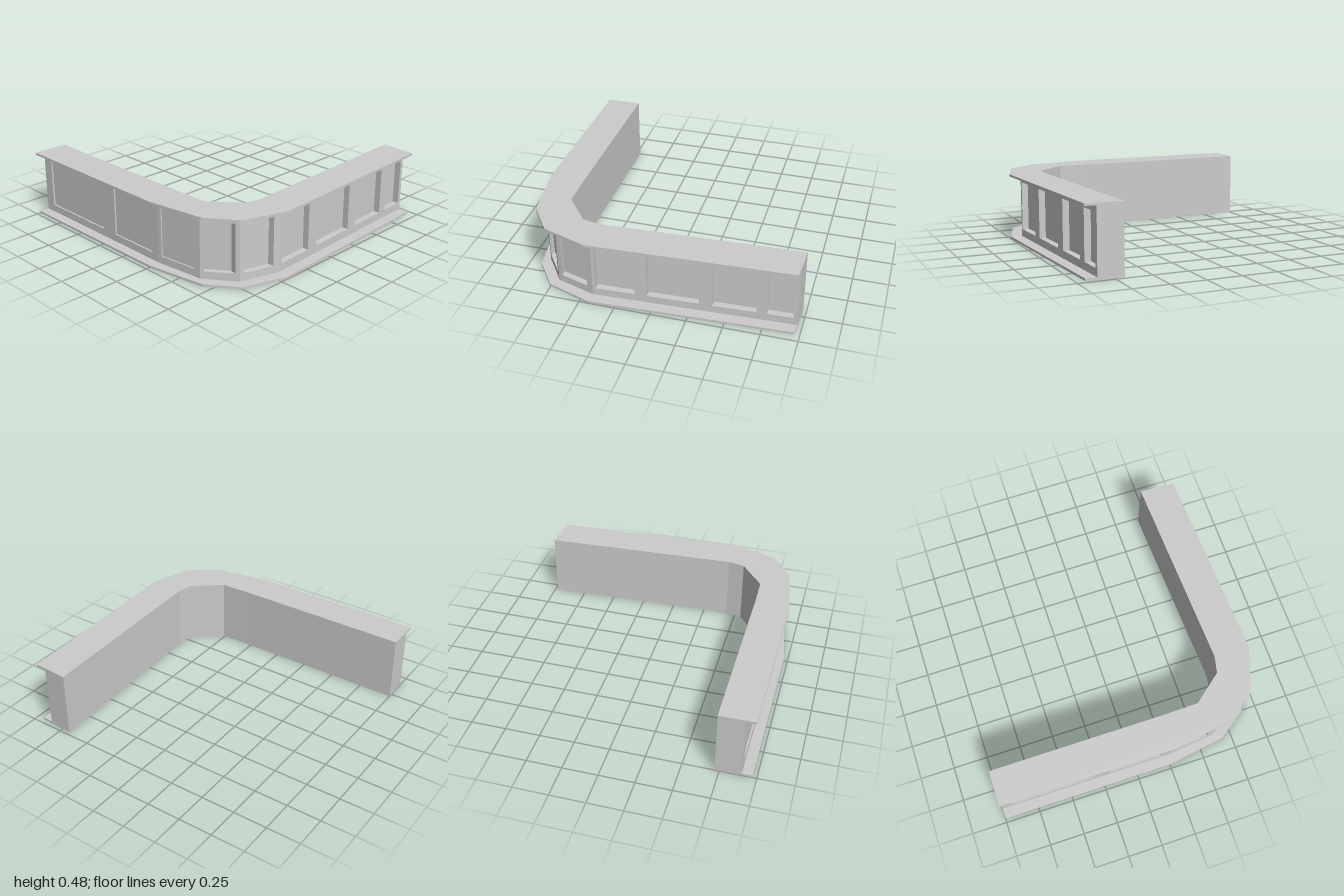
import * as THREE from 'three';

const HEIGHT = 0.48, SLAB = 0.016;
const PANEL_Y0 = 0.07, PANEL_Y1 = 0.42;

// Plan outlines as [x, z], walked from the right end round the bend to the rear end
const slabFront = [[-1, 0.972], [0.26, 0.972], [0.685, 0.905], [0.892, 0.755], [0.998, 0.44], [0.938, -0.965]];
const bodyFront = [[-1, 0.9], [0.26, 0.9], [0.62, 0.86], [0.83, 0.71], [0.917, 0.43], [0.86, -0.968]];
const back = [[0.682, -0.977], [0.742, 0.43], [0.715, 0.55], [0.51, 0.715], [0.26, 0.72], [-1, 0.72]];

// Panels on each front facet: axis (0 = x, 1 = z), recess shift [dx, dz], spans along the axis
const facets = [
  { axis: 0, shift: [0, -0.012], spans: [[-0.92, -0.32], [-0.19, 0.2]] },
  { axis: 0, shift: [0, -0.01], spans: [[0.29, 0.57]] },
  { axis: 0, shift: [-0.045, -0.01], spans: [[0.64, 0.807]] },
  { axis: 1, shift: [-0.046, 0], spans: [[0.68, 0.475]] },
  { axis: 1, shift: [-0.046, 0], spans: [[0.41, 0.135], [0.05, -0.31], [-0.4, -0.695], [-0.765, -0.94]] },
];

const material = new THREE.MeshStandardMaterial({ color: 0xcccccc, flatShading: true });

function addMesh(parent, name, geometry) {
  const mesh = new THREE.Mesh(geometry, material);
  mesh.name = name;
  parent.add(mesh);
}

// Geometry from a list of four-cornered faces, corners counter-clockwise
function quads(faces) {
  const points = faces.flatMap(([a, b, c, d]) => [a, b, c, a, c, d]).flat();
  const geometry = new THREE.BufferGeometry();
  geometry.setAttribute('position', new THREE.Float32BufferAttribute(points, 3));
  geometry.computeVertexNormals();
  return geometry;
}

// Corners of an upright rectangle between two plan points
const upright = (a, b, y0, y1) => [
  [a[0], y0, a[1]], [b[0], y0, b[1]], [b[0], y1, b[1]], [a[0], y1, a[1]],
];

const mix = (a, b, t) => [a[0] + (b[0] - a[0]) * t, a[1] + (b[1] - a[1]) * t];

// Flat L-shaped slab lying at height y
function slab(y) {
  const shape = new THREE.Shape([...slabFront, ...back].map(([x, z]) => new THREE.Vector2(x, -z)));
  return new THREE.ExtrudeGeometry(shape, { depth: SLAB, bevelEnabled: false })
    .rotateX(-Math.PI / 2).translate(0, y, 0);
}

// Front facet from a to b with panel openings cut through it
function facetWall(a, b, spans) {
  const rect = (s, e, y0, y1) => [[s, y0], [e, y0], [e, y1], [s, y1]].map(p => new THREE.Vector2(...p));
  const shape = new THREE.Shape(rect(0, 1, SLAB, HEIGHT - SLAB));
  for (const [s, e] of spans) shape.holes.push(new THREE.Path(rect(s, e, PANEL_Y0, PANEL_Y1).reverse()));
  const geometry = new THREE.ShapeGeometry(shape);
  const pos = geometry.attributes.position;
  for (let i = 0; i < pos.count; i++) {
    const [x, z] = mix(a, b, pos.getX(i));
    pos.setXYZ(i, x, pos.getY(i), z);
  }
  geometry.computeVertexNormals();
  return geometry;
}

// Sunken panel: four reveals and a back face moved inward by the shift
function recess(a, b, [dx, dz]) {
  const rim = upright(a, b, PANEL_Y0, PANEL_Y1);
  const inner = rim.map(([x, y, z]) => [x + dx, y, z + dz]);
  const faces = rim.map((p, i) => [p, rim[(i + 1) % 4], inner[(i + 1) % 4], inner[i]]);
  return quads([...faces, inner]);
}

export function createModel() {
  const group = new THREE.Group();
  group.name = 'counter';

  addMesh(group, 'counterTop', slab(HEIGHT - SLAB));
  addMesh(group, 'basePlinth', slab(0));

  // Front walls with their recessed panels
  const front = new THREE.Group();
  front.name = 'panelledFront';
  group.add(front);
  facets.forEach(({ axis, shift, spans }, i) => {
    const a = bodyFront[i], b = bodyFront[i + 1];
    const params = spans.map(span => span.map(v => (v - a[axis]) / (b[axis] - a[axis])));
    addMesh(front, 'frontWall', facetWall(a, b, params));
    for (const [s, e] of params) addMesh(front, 'recessedPanel', recess(mix(a, b, s), mix(a, b, e), shift));
  });

  // Plain rear wall and the two end walls
  const wall = (a, b) => upright(a, b, SLAB, HEIGHT - SLAB);
  addMesh(group, 'backWall', quads(back.slice(1).map((p, i) => wall(back[i], p))));
  addMesh(group, 'endWalls', quads([wall(bodyFront[5], back[0]), wall(back[5], bodyFront[0])]));

  return group;
}
